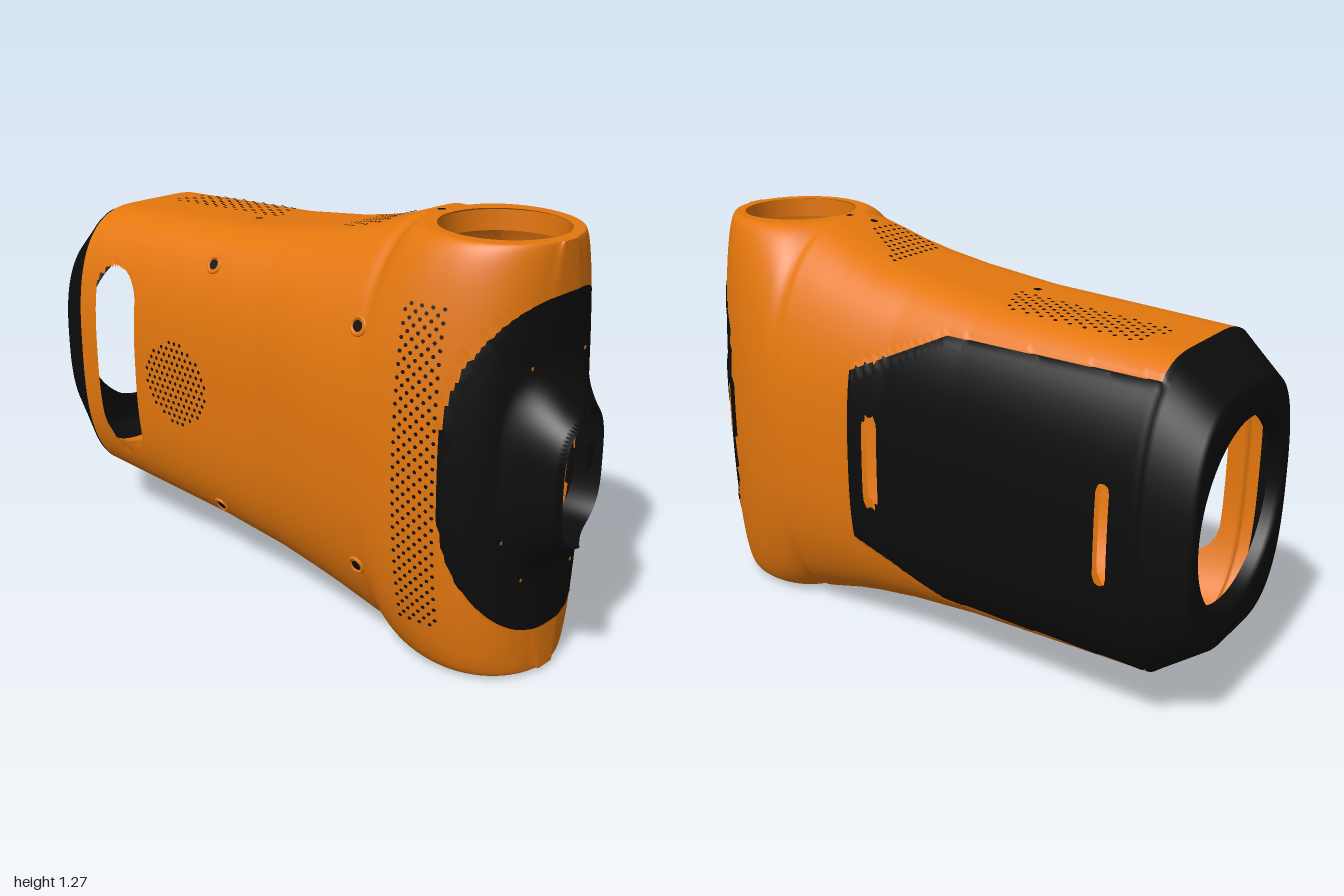
import * as THREE from 'three';
import { mergeGeometries } from 'three/addons/utils/BufferGeometryUtils.js';

const CY = 0.633;
const { lerp, clamp } = THREE.MathUtils;
const orange = new THREE.MeshStandardMaterial({ color: 0xe4770e, side: THREE.DoubleSide });
orange.name = 'orange';
const black = new THREE.MeshStandardMaterial({ color: 0x0c0c0c, side: THREE.DoubleSide });
black.name = 'black';

// Sections along the body: z, centre x, half width, half width of flat top, half height, corner exponent
const SECTIONS = [
  [-0.95, 0, 0.265, 0, 0.275, 2], [-1, 0, 0.27, 0, 0.28, 2], [-1, 0, 0.305, 0.06, 0.365, 2.7],
  [-0.85, 0, 0.35, 0.08, 0.47, 2.8], [-0.6, 0, 0.344, 0.08, 0.482, 2.8], [-0.25, 0, 0.339, 0.08, 0.497, 2.8],
  [0, 0, 0.342, 0.07, 0.527, 2.7], [0.15, 0, 0.358, 0.06, 0.553, 2.6], [0.25, 0, 0.366, 0.05, 0.579, 2.5],
  [0.4, 0, 0.37, 0.03, 0.63, 2.4],
];
const STEPS = [3, 3, 12, 25, 35, 25, 15, 10, 15];

// Rounded front; its flat top follows the circular rim of the top opening
function frontSection(a) {
  const s = Math.sin(a), z = 0.4 + 0.472 * s;
  const w = 0.37 * Math.pow(Math.max(Math.cos(a), 0), 0.75);
  const t = Math.max(0.03, Math.sqrt(Math.max(0, 0.0462 - (z - 0.65) ** 2)));
  return [z, -0.032 * s, w, Math.min(t, w), 0.63 - 0.006 * s, lerp(2.4, 2, clamp((z - 0.4) / 0.25, 0, 1))];
}

function sectionAt(z) {
  if (z >= 0.4) return frontSection(Math.asin(Math.min(1, (z - 0.4) / 0.472)));
  let i = 3;
  while (i < SECTIONS.length - 2 && z > SECTIONS[i + 1][0]) i++;
  const a = SECTIONS[i], b = SECTIONS[i + 1], f = (z - a[0]) / (b[0] - a[0]);
  return a.map((v, k) => lerp(v, b[k], f));
}

// Cut-outs: round ended slots; u is the axis along the slot, the other axis is z
const CUTS = [
  { u: 'x', c: -0.02, z: 0.65, half: 0, r: 0.18, on: p => Math.abs(p.y - CY) > 0.5 },
  { u: 'y', c: CY, z: 0.045, half: 0.118, r: 0.027, on: p => p.x > 0.2 },
  { u: 'y', c: CY, z: -0.757, half: 0.127, r: 0.021, on: p => p.x > 0.2 },
  { u: 'y', c: CY, z: -0.67, half: 0.215, r: 0.108, on: p => p.x < -0.2 },
];
function cutDistance(p, cut) {
  const du = p[cut.u] - cut.c, near = clamp(du, -cut.half, cut.half);
  return [Math.hypot(du - near, p.z - cut.z), near, du - near];
}
const oval = (x, y, cx, hw, hh, e) =>
  Math.pow(Math.pow(Math.abs(x - cx) / hw, e) + Math.pow(Math.abs(y - CY) / hh, e), 1 / e);
const maskOval = p => oval(p.x, p.y, -0.02, 0.305, 0.485, 2.8);
const panelLimit = z => z < -0.18 ? 0.417 : lerp(0.417, 0.27, (z + 0.18) / 0.31);
const capEdge = x => -0.848 - 0.02 * x;

function inPanel(p, margin = 0) {
  return p.x > 0.1 && p.z < 0.13 - margin && p.z > -0.86 && Math.abs(p.y - CY) < panelLimit(p.z) - margin;
}
const isBlack = p => p.z < capEdge(p.x) || inPanel(p) || (p.z > 0.5 && maskOval(p) < 1);
function isCut(p) {
  if (p.z > 0.75 && oval(p.x, p.y, -0.05, 0.155, 0.195, 3) < 1) return true;
  return CUTS.some(c => c.on(p) && cutDistance(p, c)[0] < c.r);
}

// Point on a section; k runs from 0 to 4 clockwise from the top
function ringPoint([z, cx, w, t, h, n], k) {
  const q = Math.floor(k) % 4, g = k - Math.floor(k);
  const f = q % 2 ? 1 - g : g;
  const a = Math.max(0, (f - 0.3) / 0.7) * Math.PI / 2;
  const x = f < 0.3 ? t * f / 0.3 : t + (w - t) * Math.pow(Math.sin(a), 2 / n);
  const y = h * Math.pow(Math.max(0, Math.cos(a)), 2 / n);
  return new THREE.Vector3(cx + (q < 2 ? x : -x), CY + (q === 0 || q === 3 ? y : -y), z);
}

// Pull vertices near a cut or a colour border onto it, so that the edges run clean
function snap(p) {
  for (const c of CUTS) {
    if (!c.on(p)) continue;
    const [d, near, off] = cutDistance(p, c);
    if (Math.abs(d - c.r) > 0.008 || d < 1e-6) continue;
    p.z = c.z + (p.z - c.z) * c.r / d;
    p[c.u] = c.c + near + off * c.r / d;
  }
  const dy = p.y - CY, m = maskOval(p);
  if (p.z > 0.5 && Math.abs(m - 1) < 0.018) {
    p.x = -0.02 + (p.x + 0.02) / m;
    p.y = CY + dy / m;
  }
  if (Math.abs(p.z - capEdge(p.x)) < 0.0055) p.z = capEdge(p.x);
  if (p.x > 0.1 && p.z < 0.14 && p.z > -0.86) {
    const limit = panelLimit(p.z);
    if (Math.abs(dy) < limit && Math.abs(p.z - 0.13) < 0.0076) p.z = 0.13;
    else if (Math.abs(Math.abs(dy) - limit) < 0.009) p.y = CY + Math.sign(dy) * limit;
  }
}

function loft(rows, cols, inset = 0) {
  const pts = [], idx = [[], []];
  for (const [z, cx, w, t, h, n] of rows) for (let j = 0; j < cols; j++) {
    const p = ringPoint([z, cx, w - inset, t, h - inset, n], 4 * j / cols);
    snap(p);
    // The panel stands proud, and the end face is slightly slanted
    if (!inset && inPanel(p, 0.003)) p.x += 0.009;
    p.z += clamp((-0.85 - p.z) / 0.15, 0, 1) * 0.02 * clamp((0.3 - p.x) / 0.6, 0, 1);
    pts.push(p);
  }
  const mid = new THREE.Vector3();
  for (let i = 0; i < rows.length - 1; i++) for (let j = 0; j < cols; j++) {
    const a = i * cols + j, b = i * cols + (j + 1) % cols, c = a + cols, d = b + cols;
    for (const tri of [[a, c, b], [b, c, d]]) {
      mid.set(0, 0, 0);
      tri.forEach(v => mid.addScaledVector(pts[v], 1 / 3));
      if (!isCut(mid)) idx[!inset && isBlack(mid) ? 1 : 0].push(...tri);
    }
  }
  const g = new THREE.BufferGeometry().setFromPoints(pts);
  g.setIndex(idx.flat());
  g.computeVertexNormals();
  g.addGroup(0, idx[0].length, 0);
  g.addGroup(idx[0].length, idx[1].length, 1);
  return g;
}

export function createModel() {
  const model = new THREE.Group();
  const add = (name, geo, mat, x = 0, y = 0, z = 0) => {
    const m = new THREE.Mesh(geo, mat);
    m.name = name;
    m.position.set(x, y, z);
    model.add(m);
    return m;
  };

  // Shell with end cap, side panel and front mask, plus an orange lining
  const rows = [];
  STEPS.forEach((n, i) => {
    for (let k = 0; k < n; k++) rows.push(SECTIONS[i].map((v, c) => lerp(v, SECTIONS[i + 1][c], k / n)));
  });
  for (let k = 0; k <= 50; k++) rows.push(frontSection(k / 50 * Math.PI / 2));
  add('shell', loft(rows, 240), [orange, black]);
  const lining = [];
  for (let z = -0.9; z < 0.42; z += 0.012) lining.push(z < -0.85 ? [z, 0, 0.325, 0.07, 0.42, 2.8] : sectionAt(z));
  add('lining', loft(lining, 120, 0.014), [orange, black]);

  // Rims of the top and bottom openings
  for (const s of [-1, 1])
    add('openingRim', new THREE.CylinderGeometry(0.18, 0.18, 0.06, 64, 1, true), orange, -0.02, CY + s * 0.595, 0.65);

  // Flared black collar round the front opening
  const bodyZ = (x, y) => {
    const k = Math.sqrt(Math.max(0.05, 1 - ((y - CY) / 0.63) ** 2));
    const c = Math.min(1, Math.pow(Math.abs(x + 0.03) / (0.37 * (0.4 + 0.6 * k)), 1.33));
    return 0.4 + 0.472 * Math.sqrt(1 - c * c);
  };
  const collar = [], ci = [], N = 72, M = 15;
  for (let i = 0; i <= M; i++) for (let j = 0; j < N; j++) {
    const s = Math.min(1, i / (M - 1)), a = j / N * Math.PI * 2;
    const ca = Math.cos(a), sa = Math.sin(a), e = 0.62;
    const x = lerp(-0.04, -0.05, s) + lerp(0.2, 0.146, s) * Math.sign(ca) * Math.abs(ca) ** e;
    const y = CY + lerp(0.34, 0.18, s) * Math.sign(sa) * Math.abs(sa) ** e;
    const lip = lerp(0.93, 1, (1 - clamp((x + 0.1) / 0.18, 0, 1)) ** 2);
    const z = i === M ? 0.84 : lerp(bodyZ(x, y) + 0.003, lip, Math.pow(s, 2.4));
    collar.push(new THREE.Vector3(x, y, z));
    if (i < M) {
      const p = i * N + j, q = i * N + (j + 1) % N;
      ci.push(p, q, p + N, q, q + N, p + N);
    }
  }
  const cg = new THREE.BufferGeometry().setFromPoints(collar);
  cg.setIndex(ci);
  cg.computeVertexNormals();
  add('frontCollar', cg, black);

  // Brackets in the front opening, the slit beside it and small screws around it
  for (const s of [-1, 1])
    add('bracket', new THREE.BoxGeometry(0.1, 0.055, 0.02), black, -0.105, CY + s * 0.157, 0.89);
  add('latch', new THREE.BoxGeometry(0.03, 0.08, 0.02), black, 0.083, CY, 0.89);
  add('frontSlit', new THREE.BoxGeometry(0.012, 0.15, 0.009), orange, 0.254, CY, 0.742).rotation.y = 0.8;
  for (const [x, y] of [[-0.165, 0.94], [0.05, 0.95], [-0.225, 0.455], [0.05, 0.32], [-0.165, 0.33]])
    add('maskScrew', new THREE.CircleGeometry(0.006, 10), orange, x, y, bodyZ(x, y) + 0.012);

  // Vents: small dots laid on the surface
  const dots = [];
  const dot = (x, y, z, dir, r = 0.0065) => {
    const n = new THREE.Vector3(...dir).normalize();
    const q = new THREE.Quaternion().setFromUnitVectors(new THREE.Vector3(0, 0, 1), n);
    dots.push(new THREE.CircleGeometry(r, r > 0.01 ? 20 : 6).applyQuaternion(q)
      .translate(x + n.x * 0.003, y + n.y * 0.003, z + n.z * 0.003));
  };
  const topDot = (x, z, r) => {
    const [, cx, w, t, h, n] = sectionAt(z);
    const k = clamp((Math.abs(x - cx) - t) / (w - t), 0, 1);
    const y = h * Math.pow(1 - k ** n, 1 / n), tilt = z > 0.4 ? 0 : z > 0.1 ? -0.25 : -0.05;
    for (const s of [-1, 1]) dot(x, CY + s * y, z, [k ** (n - 1) * Math.sign(x) * 1.5, s, tilt], r);
  };
  // Point and normal on the right side at a given height
  const sidePoint = (y, z) => {
    const [, cx, w, t, h, n] = sectionAt(z), k = Math.abs(y - CY) / h;
    const c = Math.pow(1 - k ** n, 1 / n);
    return [cx - t - (w - t) * c,
      [-(c ** (n - 1)), Math.sign(y - CY) * k ** (n - 1) * (w - t) / h, z > 0.45 ? (z - 0.4) * 1.1 : 0]];
  };
  const sideDot = (y, z, r) => {
    const [x, dir] = sidePoint(y, z);
    dot(x, y, z, dir, r);
  };
  for (let i = 0; i < 24; i++) for (let j = 0; j < 5; j++) {
    const x = 0.005 + j * 0.032 + (i % 2) * 0.016, z = -0.77 + i * 0.0235;
    if (x < 0.15 && z < -0.22 - x * 0.5 && z > -0.77 + x * 0.3) topDot(x, z);
  }
  for (let i = 0; i < 8; i++) for (let j = 0; j < 10; j++) {
    const x = -0.12 + j * 0.025 + (i % 2) * 0.0125, z = 0.145 + i * 0.025;
    if (x < 0.11 - (z - 0.145) * 0.65 && x > -0.125 + Math.max(0, 0.2 - z) * 0.4) topDot(x, z);
  }
  for (let i = 0; i < 52; i++) for (let j = 0; j < 4; j++)
    sideDot(CY - 0.46 + i * 0.018, 0.57 + j * 0.032 + (i % 2) * 0.016, 0.006);
  for (let i = -6; i <= 6; i++) for (let j = -6; j <= 6; j++) {
    const dy = i * 0.022, dz = j * 0.025 + (i % 2) * 0.0125;
    if (Math.hypot(dy, dz) < 0.14) sideDot(CY + dy, -0.36 + dz);
  }
  // Screw holes with raised collars
  for (const [x, z] of [[-0.05, -0.27], [-0.05, 0.36], [-0.02, 0.435]]) topDot(x, z, 0.012);
  for (const s of [-1, 1]) for (const [dy, z] of [[0.4, -0.23], [0.36, 0.41]]) {
    const y = CY + s * dy, [x, dir] = sidePoint(y, z);
    sideDot(y, z, 0.016);
    add('screwCollar', new THREE.TorusGeometry(0.024, 0.006, 8, 24), orange, x, y, z)
      .quaternion.setFromUnitVectors(new THREE.Vector3(0, 0, 1), new THREE.Vector3(...dir).normalize());
  }
  add('ventsAndScrewHoles', mergeGeometries(dots), black);
  return model;
}
